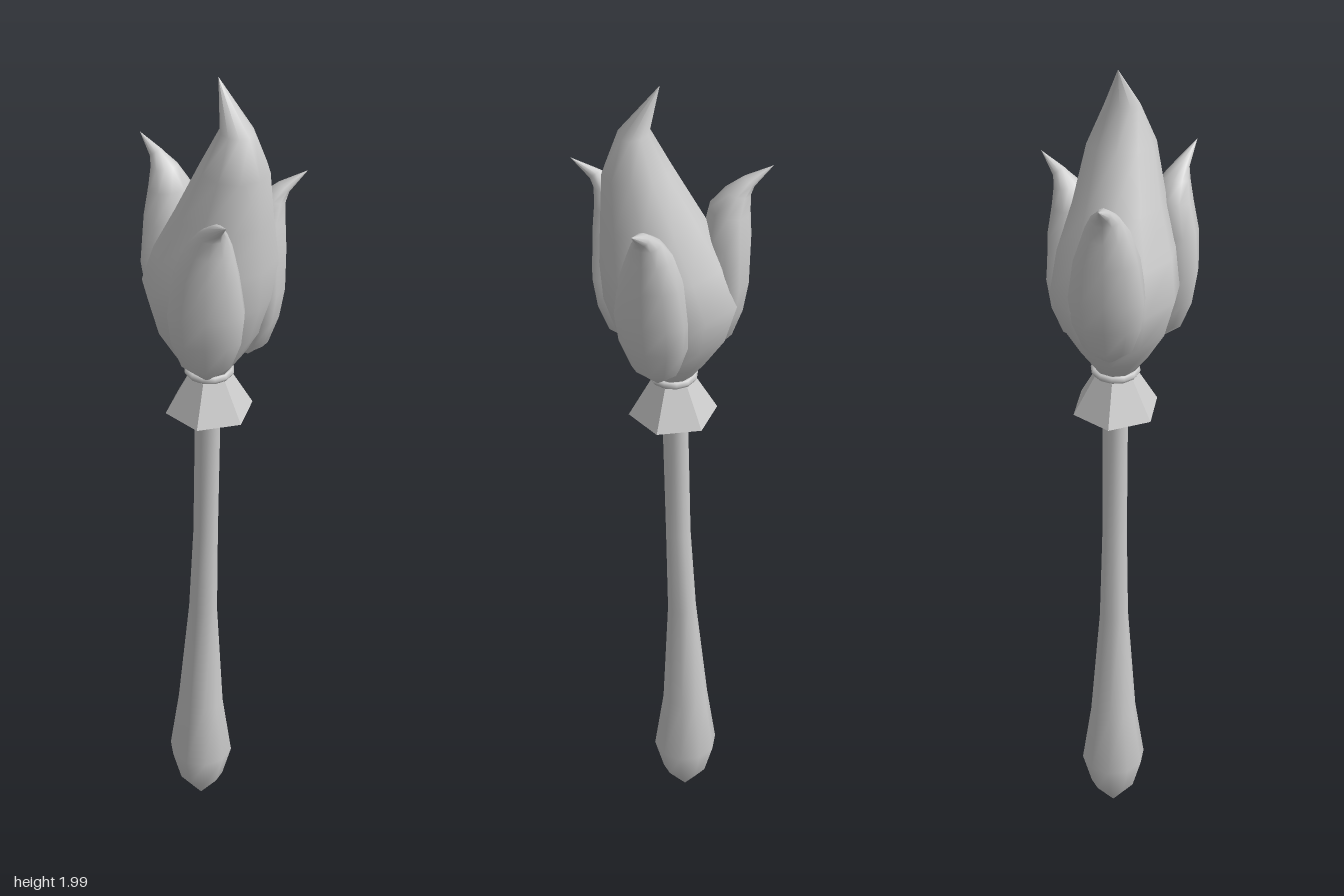
import * as THREE from 'three';

const material = new THREE.MeshStandardMaterial({ color: 0xcccccc, side: THREE.DoubleSide });

// Skin elliptical sections: [xMin, yAtMin, xMax, yAtMax, halfWidthZ, zOffset]
function loft(name, sections, sides) {
  const positions = [], index = [];
  for (const [x0, y0, x1, y1, w, z = 0] of sections) {
    for (let j = 0; j < sides; j++) {
      const a = (j / sides) * Math.PI * 2;
      const t = (1 + Math.cos(a)) / 2;
      positions.push(x0 + (x1 - x0) * t, y0 + (y1 - y0) * t, z + w * Math.sin(a));
    }
  }
  for (let i = 0; i < sections.length - 1; i++) {
    for (let j = 0; j < sides; j++) {
      const k = (j + 1) % sides;
      const a = i * sides + j, b = i * sides + k;
      index.push(a, a + sides, b, b, a + sides, b + sides);
    }
  }
  const geometry = new THREE.BufferGeometry();
  geometry.setAttribute('position', new THREE.Float32BufferAttribute(positions, 3));
  geometry.setIndex(index);
  geometry.computeVertexNormals();
  const mesh = new THREE.Mesh(geometry, material);
  mesh.name = name;
  return mesh;
}

// Level round section: centre x, height, radius
const round = (x, y, r) => [x - r, y, x + r, y, r];

// Side flame curling outward along +x, then turned to its heading
function sideFlame(name, heading, out, drop, skew) {
  const mesh = loft(name, [
    [0.07, 1.38, 0.09, 1.37, 0.01],
    [0.065, 1.42, 0.13, 1.41, 0.055],
    [0.06, 1.48, 0.153, 1.48, 0.078],
    [0.06, 1.55, 0.165, 1.55, 0.085],
    [0.062, 1.64, 0.168, 1.64, 0.072],
    [0.075, 1.71, 0.165, 1.7, 0.05, skew * 0.15],
    [0.11, 1.75, 0.165, 1.74, 0.032, skew * 0.3],
    [0.15, 1.778, 0.172, 1.757, 0.016, skew * 0.5],
    [0.212, 1.8, 0.212, 1.8, 0, skew],
  ], 10);
  mesh.position.set(out * Math.cos(heading), -drop, out * Math.sin(heading));
  mesh.rotation.y = -heading;
  return mesh;
}

export function createModel() {
  const group = new THREE.Group();
  group.name = 'torch';

  // Slender handle swelling to a pointed pommel
  group.add(loft('handle', [
    round(-0.03, 0.01, 0),
    round(-0.03, 0.085, 0.055),
    round(-0.03, 0.17, 0.077),
    round(-0.03, 0.33, 0.055),
    round(-0.021, 0.62, 0.034),
    round(-0.012, 0.85, 0.029),
    round(-0.004, 1.22, 0.029),
  ], 10));

  // Hollow six-sided collar
  const collarMaterial = material.clone();
  collarMaterial.flatShading = true;
  const collar = new THREE.Mesh(
    new THREE.CylinderGeometry(0.046, 0.1, 0.095, 6, 1, true).rotateY(Math.PI / 6),
    collarMaterial);
  collar.name = 'collar';
  collar.position.y = 1.2475;
  group.add(collar);

  // Inside cap of the collar
  const cap = new THREE.Mesh(new THREE.CircleGeometry(0.05, 6).rotateX(-Math.PI / 2), material);
  cap.name = 'collarCap';
  cap.position.y = 1.29;
  group.add(cap);

  // Thin band under the flame
  const band = new THREE.Mesh(new THREE.TorusGeometry(0.047, 0.009, 6, 12).rotateX(Math.PI / 2), material);
  band.name = 'band';
  band.position.y = 1.3;
  group.add(band);

  // Main flame leaning to +x, with its tip hooking back
  group.add(loft('mainFlame', [
    [0, 1.295, 0, 1.295, 0],
    round(0, 1.3, 0.042),
    round(0, 1.35, 0.078),
    [-0.125, 1.42, 0.122, 1.42, 0.118],
    [-0.152, 1.51, 0.15, 1.51, 0.142],
    [-0.118, 1.6, 0.157, 1.6, 0.13],
    [-0.063, 1.7, 0.153, 1.7, 0.1],
    [0.002, 1.82, 0.148, 1.81, 0.075],
    [0.046, 1.905, 0.116, 1.895, 0.038],
    [0.026, 2, 0.026, 2, 0],
  ], 10));

  // Three smaller flames around it
  const deg = Math.PI / 180;
  group.add(
    sideFlame('rightFlame', 180 * deg, 0, 0, 0),
    sideFlame('frontFlame', 47 * deg, 0.028, 0.025, -0.045),
    sideFlame('backFlame', -58 * deg, 0, 0.038, 0),
  );
  return group;
}
